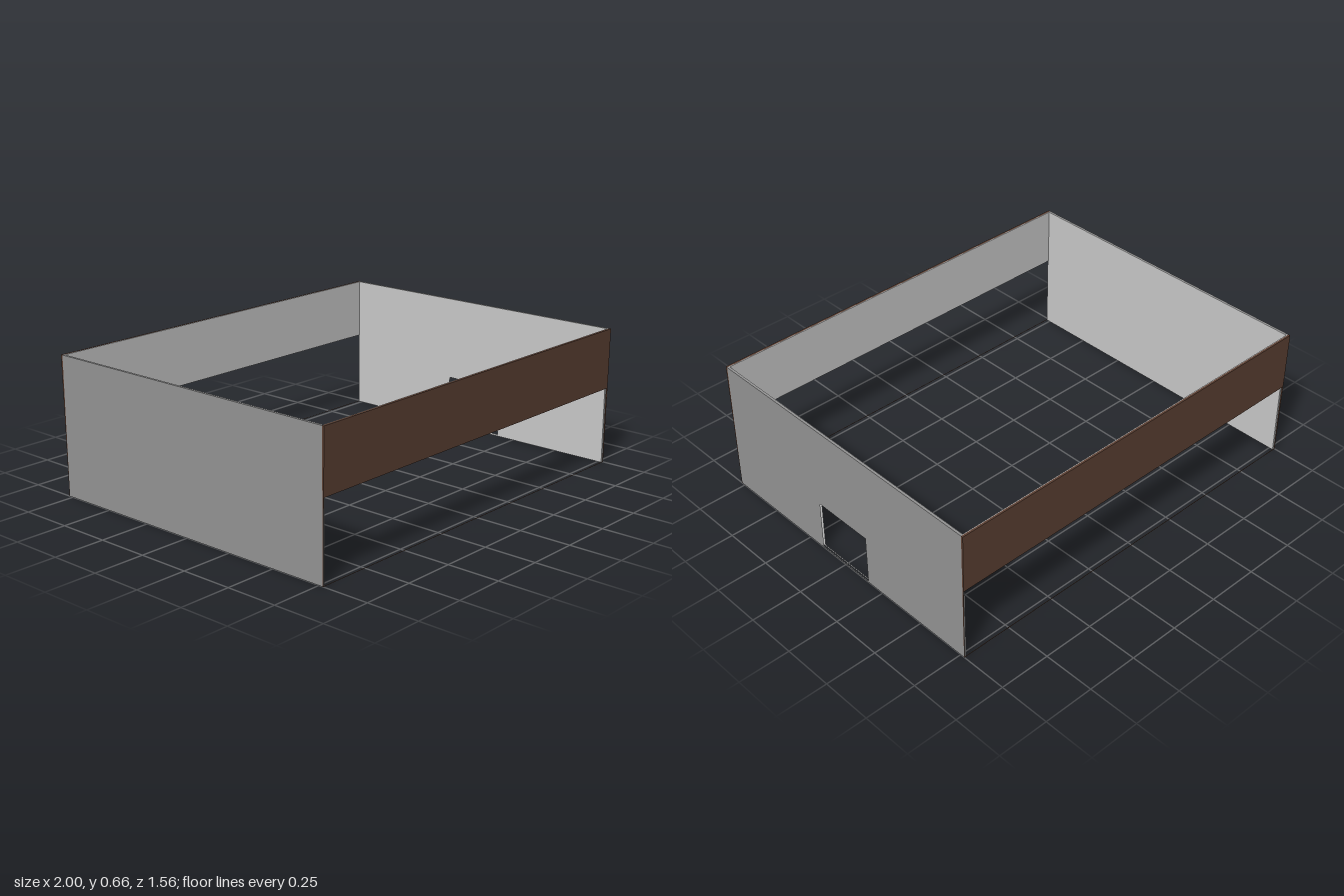
import * as THREE from 'three';

const H = 0.66, BAND = 0.37, Z = 0.77, T = 0.012;

export function createModel() {
  const model = new THREE.Group();
  model.name = 'openShell';
  const color = (name, hex) => {
    const m = new THREE.MeshStandardMaterial({ color: hex });
    m.name = name;
    return m;
  };
  const outerGrey = color('outerGrey', 0x949494);
  const innerGrey = color('innerGrey', 0xcacaca);
  const brown = color('brown', 0x5c4033);

  // Extrudes a (z, y) outline along x, from x0 to x1
  const slab = (name, points, x0, x1, material, parent, hole) => {
    const toShape = (pts, C) => new C(pts.map(([z, y]) => new THREE.Vector2(-z, y)));
    const shape = toShape(points, THREE.Shape);
    if (hole) shape.holes.push(toShape(hole, THREE.Path));
    const geo = new THREE.ExtrudeGeometry(shape, { depth: x1 - x0, bevelEnabled: false });
    geo.rotateY(Math.PI / 2).translate(x0, 0, 0);
    const mesh = new THREE.Mesh(geo, material);
    mesh.name = name;
    parent.add(mesh);
  };
  const rect = (z0, z1, y0, y1) => [[z0, y0], [z1, y0], [z1, y1], [z0, y1]];

  // End walls: grey outside, pale lining inside; the left one has a doorway
  const wall = rect(-Z, Z, 0, H);
  const door = rect(-0.155, 0.155, 0.008, 0.25);
  for (const side of [1, -1]) {
    const group = new THREE.Group();
    group.name = side > 0 ? 'leftEndWall' : 'rightEndWall';
    const hole = side > 0 ? door : null;
    const outer = [side, side * (1 - T + 0.002)].sort((a, b) => a - b);
    const inner = [side * (1 - T + 0.002), side * (1 - T)].sort((a, b) => a - b);
    slab('wallShell', wall, ...outer, outerGrey, group, hole);
    slab('wallLining', wall, ...inner, innerGrey, group, hole);
    model.add(group);
  }

  // Long sides: brown upper band, leaning slightly outwards, over an open gap
  for (const side of [1, -1]) {
    const group = new THREE.Group();
    group.name = side > 0 ? 'frontSide' : 'backSide';
    const face = (y) => side * (0.773 + 0.007 * y / H);
    const inside = side * Z;
    slab('upperBand', [[inside, BAND], [face(BAND), BAND], [face(H), H], [inside, H]], -1, 1, brown, group);
    slab('bandLining', rect(side * 0.766, inside, BAND, H), -1 + T, 1 - T, innerGrey, group);
    // Thin frame left around the gap
    const post = [[inside, 0], [face(0), 0], [face(BAND), BAND], [inside, BAND]];
    slab('rightPost', post, -1, -0.999, brown, group);
    slab('leftPost', post, 0.999, 1, brown, group);
    slab('bottomStrip', rect(inside, face(0), 0, 0.001), -0.999, 0.999, brown, group);
    model.add(group);
  }
  return model;
}
